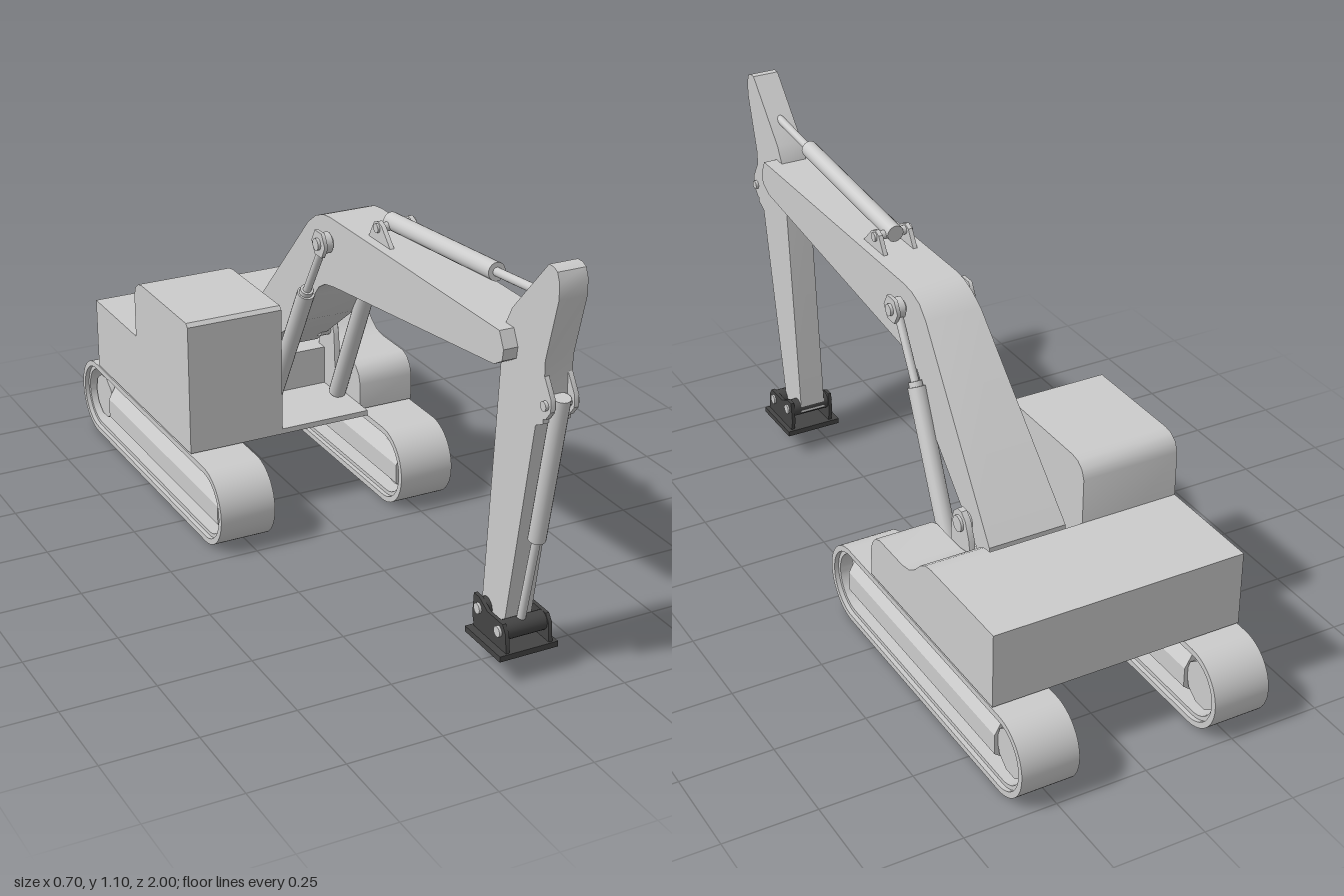
import * as THREE from 'three';
import { toCreasedNormals } from 'three/addons/utils/BufferGeometryUtils.js';

const grey = new THREE.MeshStandardMaterial({ color: 0xcccccc });
const dark = new THREE.MeshStandardMaterial({ color: 0x444444 });
const MID = 0.055; // x of the digging arm

export function createModel() {
  const model = new THREE.Group();

  function add(name, geometry, material = grey) {
    const mesh = new THREE.Mesh(geometry, material);
    mesh.name = name;
    model.add(mesh);
    return mesh;
  }

  // Side profile in (z, y), extruded across x from x0 to x1
  function slab(profile, x0, x1) {
    const shape = profile instanceof THREE.Shape
      ? profile : new THREE.Shape(profile.map(([z, y]) => new THREE.Vector2(z, y)));
    const g = new THREE.ExtrudeGeometry(shape, { depth: x1 - x0, bevelEnabled: false, curveSegments: 14 });
    g.rotateY(-Math.PI / 2).translate(x1, 0, 0);
    return toCreasedNormals(g, 0.6);
  }

  function box(x0, x1, y0, y1, z0, z1) {
    return new THREE.BoxGeometry(x1 - x0, y1 - y0, z1 - z0)
      .translate((x0 + x1) / 2, (y0 + y1) / 2, (z0 + z1) / 2);
  }

  // Cylinder between two points
  function rod(a, b, r, sides = 20) {
    const p = new THREE.Vector3(...a), q = new THREE.Vector3(...b);
    const d = q.clone().sub(p);
    const g = new THREE.CylinderGeometry(r, r, d.length(), sides);
    g.applyQuaternion(new THREE.Quaternion().setFromUnitVectors(new THREE.Vector3(0, 1, 0), d.normalize()));
    g.translate(...p.add(q).multiplyScalar(0.5).toArray());
    return g;
  }
  const pin = (x0, x1, y, z, r, sides) => rod([x0, y, z], [x1, y, z], r, sides);

  // Closed track outline, inset by t
  function loop(t, Type) {
    const s = new Type(), r = 0.11 - t;
    s.absarc(-0.115, 0.11, r, -Math.PI / 2, Math.PI / 2, false);
    s.absarc(-0.89, 0.11, r, Math.PI / 2, Math.PI * 1.5, false);
    s.closePath();
    return s;
  }
  function band(outer, inner, x0, x1) {
    const s = loop(outer, THREE.Shape);
    s.holes.push(loop(inner, THREE.Path));
    return slab(s, x0, x1);
  }

  // Tracks with frames and wheels
  for (const [side, x0, x1] of [['right', -0.35, -0.193], ['left', 0.19, 0.347]]) {
    const xm = (x0 + x1) / 2;
    add(side + 'TrackBelt', band(0, 0.016, x0, x1));
    add(side + 'TrackGuide', band(0.014, 0.027, x0 + 0.012, x1 - 0.012));
    // Frame with sloping upper and lower flanks
    const section = new THREE.Shape([[-0.035, 0.045], [0.035, 0.045], [0.06, 0.065], [0.06, 0.12],
      [0.035, 0.165], [-0.035, 0.165], [-0.06, 0.12], [-0.06, 0.065]].map(p => new THREE.Vector2(...p)));
    const frame = new THREE.ExtrudeGeometry(section, { depth: 0.77, bevelEnabled: false });
    add(side + 'TrackFrame', frame.translate(xm, 0, -0.84));
    add(side + 'TrackFrameCap', slab([[-0.2, 0.16], [-0.78, 0.16], [-0.72, 0.185], [-0.26, 0.185]], xm - 0.035, xm + 0.035));
    add(side + 'Idler', pin(xm - 0.04, xm + 0.04, 0.11, -0.115, 0.07, 24));
    add(side + 'Sprocket', pin(xm - 0.05, xm + 0.05, 0.105, -0.9, 0.065, 10));
  }

  // Body: rear housing, cab, side pod and floor
  add('rearHousing', box(-0.35, 0.347, 0.225, 0.43, -0.86, -0.56));
  add('cab', slab([[-0.195, 0.225], [-0.195, 0.59], [-0.205, 0.6], [-0.505, 0.6], [-0.53, 0.595],
    [-0.55, 0.58], [-0.56, 0.555], [-0.56, 0.225]], -0.35, -0.077));
  add('sidePod', slab([[-0.24, 0.225], [-0.24, 0.3], [-0.247, 0.325], [-0.265, 0.346], [-0.29, 0.355],
    [-0.41, 0.355], [-0.445, 0.362], [-0.475, 0.38], [-0.505, 0.41], [-0.53, 0.425], [-0.56, 0.43], [-0.56, 0.225]], 0.185, 0.347));
  add('floor', box(-0.077, 0.185, 0.225, 0.24, -0.56, -0.195));
  add('boomMount', box(-0.077, 0.185, 0.24, 0.35, -0.56, -0.42));

  // Boom, widening towards its foot
  const boom = slab([[0.84, 0.86], [0.82, 0.9], [-0.02, 0.9], [-0.06, 0.895], [-0.1, 0.88], [-0.14, 0.85],
    [-0.52, 0.41], [-0.52, 0.385], [-0.49, 0.365], [-0.45, 0.365], [-0.19, 0.55], [-0.11, 0.655],
    [-0.085, 0.685], [-0.05, 0.705], [0, 0.715], [0.8, 0.81], [0.835, 0.83]], MID - 0.075, MID + 0.075);
  const p = boom.attributes.position;
  for (let i = 0; i < p.count; i++) {
    const f = 1 + 0.45 * Math.max(0, (-0.1 - p.getZ(i)) / 0.42);
    p.setX(i, MID + (p.getX(i) - MID) * f);
  }
  add('boom', toCreasedNormals(boom, 0.6));

  // Foot lugs and lift cylinders either side of the boom
  for (const s of [-1, 1]) {
    const at = d => MID + s * d;
    const lug = [[-0.35, 0.24], [-0.36, 0.41], [-0.37, 0.44], [-0.39, 0.458], [-0.41, 0.458],
      [-0.43, 0.44], [-0.45, 0.39], [-0.46, 0.24]];
    add('footLug', slab(lug, at(0.118) - 0.008, at(0.118) + 0.008));
    add('footPin', pin(at(0.08), at(0.133), 0.42, -0.4, 0.022));
    add('liftBarrel', rod([at(0.105), 0.25, -0.33], [at(0.095), 0.66, -0.12], 0.024));
    add('liftRod', rod([at(0.096), 0.65, -0.125], [at(0.094), 0.835, -0.015], 0.011));
    add('liftCollar', rod([at(0.096), 0.645, -0.128], [at(0.096), 0.672, -0.113], 0.018));
    add('liftEye', pin(at(0.082), at(0.105), 0.835, -0.015, 0.028));
    add('liftNut', pin(at(0.102), at(0.112), 0.835, -0.015, 0.038, 6));
    add('liftPin', pin(at(0.07), at(0.12), 0.835, -0.015, 0.016));
    // Lugs for the stick cylinder on top of the boom
    add('stickCylinderLug', slab([[0.26, 0.895], [0.21, 0.945], [0.19, 0.953], [0.17, 0.945], [0.14, 0.895]],
      at(0.043) - 0.006, at(0.043) + 0.006));
  }
  add('stickCylinderPin', pin(MID - 0.055, MID + 0.055, 0.935, 0.19, 0.012));
  add('stickBarrel', rod([MID, 0.94, 0.17], [MID, 0.98, 0.68], 0.023));
  add('stickRod', rod([MID, 0.978, 0.66], [MID, 1.0, 0.9], 0.011));

  // Stick
  add('stick', slab([[1, 1.07], [0.99, 1.093], [0.975, 1.1], [0.955, 1.1], [0.88, 1.02], [0.81, 0.945],
    [0.785, 0.9], [0.77, 0.81], [0.715, 0.13], [0.82, 0.13], [0.925, 0.7], [0.955, 0.715], [0.955, 0.87],
    [1, 1.03]], MID - 0.037, MID + 0.037));

  // Tool cylinder in front of the stick
  for (const s of [-1, 1]) {
    const x = MID + s * 0.031;
    add('toolCylinderLug', slab([[0.95, 0.84], [0.985, 0.785], [0.985, 0.755], [0.965, 0.73], [0.93, 0.72]], x - 0.006, x + 0.006));
  }
  add('toolCylinderPin', pin(MID - 0.045, MID + 0.045, 0.765, 0.965, 0.012));
  add('toolBarrel', rod([MID, 0.78, 0.972], [MID, 0.385, 0.892], 0.022));
  add('toolRod', rod([MID, 0.4, 0.895], [MID, 0.14, 0.835], 0.011));

  // Quick coupler
  add('couplerPlate', box(-0.025, 0.138, 0.065, 0.08, 0.71, 0.875), dark);
  for (const x of [0, 0.12]) {
    add('couplerCheek', slab([[0.87, 0.075], [0.72, 0.075], [0.71, 0.11], [0.715, 0.17], [0.74, 0.17],
      [0.78, 0.15], [0.85, 0.15], [0.865, 0.13]], x - 0.005, x + 0.005), dark);
  }
  for (const [y, z] of [[0.125, 0.835], [0.14, 0.74]]) {
    add('couplerPin', pin(-0.005, 0.125, y, z, 0.025), dark);
    add('couplerPinEnd', pin(-0.012, 0.13, y, z, 0.014));
  }
  return model;
}
